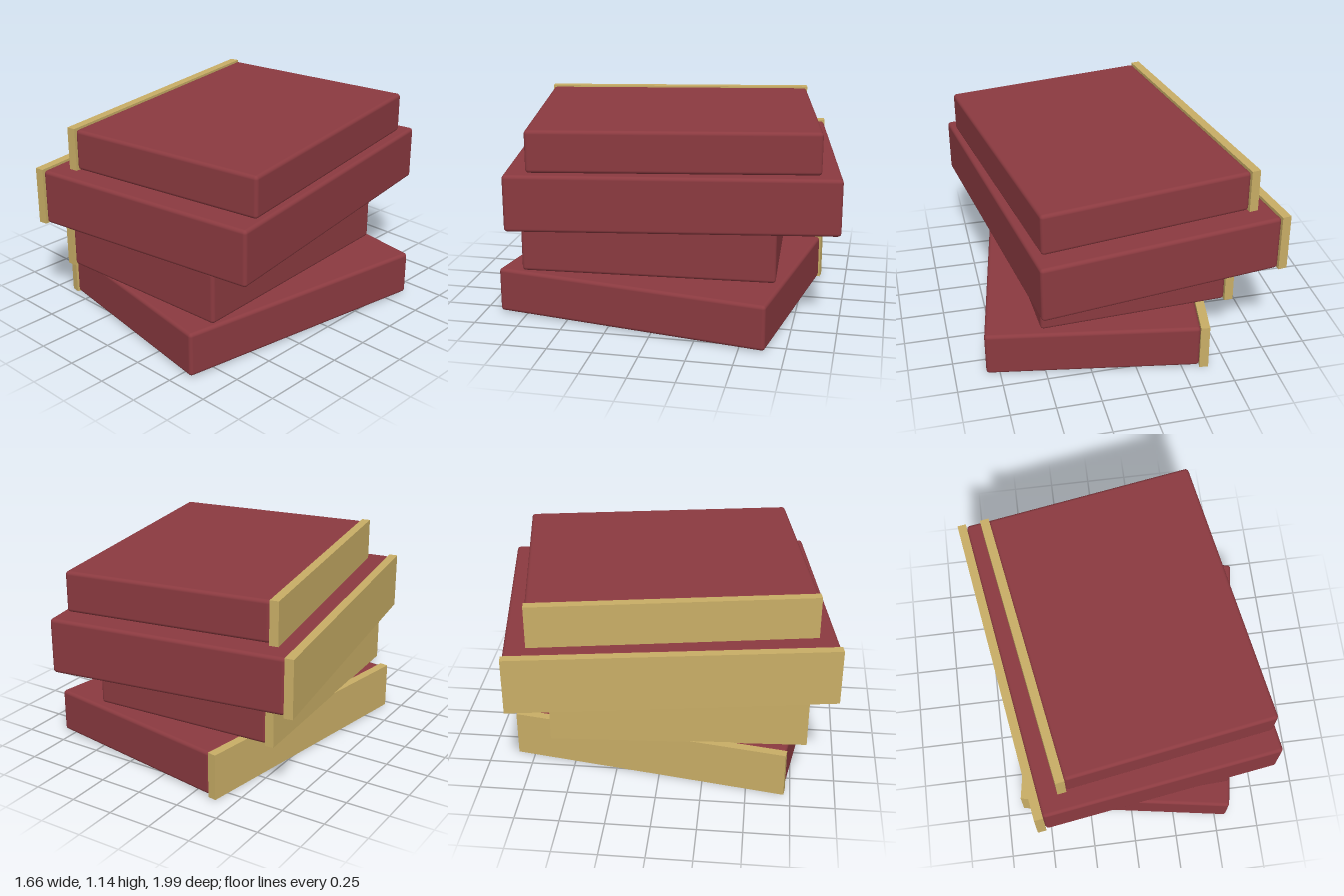
import * as THREE from 'three';
import { RoundedBoxGeometry } from 'three/addons/geometries/RoundedBoxGeometry.js';

const SPINE = 0.05; // spine thickness
const INSET = 0.006; // how far the spine stands proud of the body

// bottom to top: middle of the spine's outer face (x, z), y range, body width, length, turn
const BOOKS = [
  { x: -0.525, z: -0.068, y0: 0, y1: 0.268, width: 1.19, length: 1.585, turn: -0.165 },
  { x: -0.568, z: 0.112, y0: 0.263, y1: 0.573, width: 1.072, length: 1.437, turn: 0.053 },
  { x: -0.695, z: 0.094, y0: 0.57, y1: 0.897, width: 1.355, length: 1.81, turn: 0.15 },
  { x: -0.55, z: 0.083, y0: 0.893, y1: 1.137, width: 1.178, length: 1.577, turn: 0.165 },
];

export function createModel() {
  const coverMaterial = new THREE.MeshStandardMaterial({ color: 0x8b3a40 });
  const spineMaterial = new THREE.MeshStandardMaterial({ color: 0xc9ae66 });
  const model = new THREE.Group();
  model.name = 'bookStack';

  BOOKS.forEach(({ x, z, y0, y1, width, length, turn }, i) => {
    const book = new THREE.Group();
    book.name = `book${i + 1}`;
    const height = y1 - y0;

    // soft-edged block of the book
    const body = new THREE.Mesh(
      new RoundedBoxGeometry(width, height - 2 * INSET, length - 2 * INSET, 3, 0.02),
      coverMaterial
    );
    body.name = 'bookBody';
    body.position.x = SPINE + width / 2;

    // sharp-edged strip along the left side
    const spine = new THREE.Mesh(new THREE.BoxGeometry(SPINE, height, length), spineMaterial);
    spine.name = 'bookSpine';
    spine.position.x = SPINE / 2;

    book.add(body, spine);
    book.position.set(x, (y0 + y1) / 2, z);
    book.rotation.y = turn;
    model.add(book);
  });

  return model;
}
